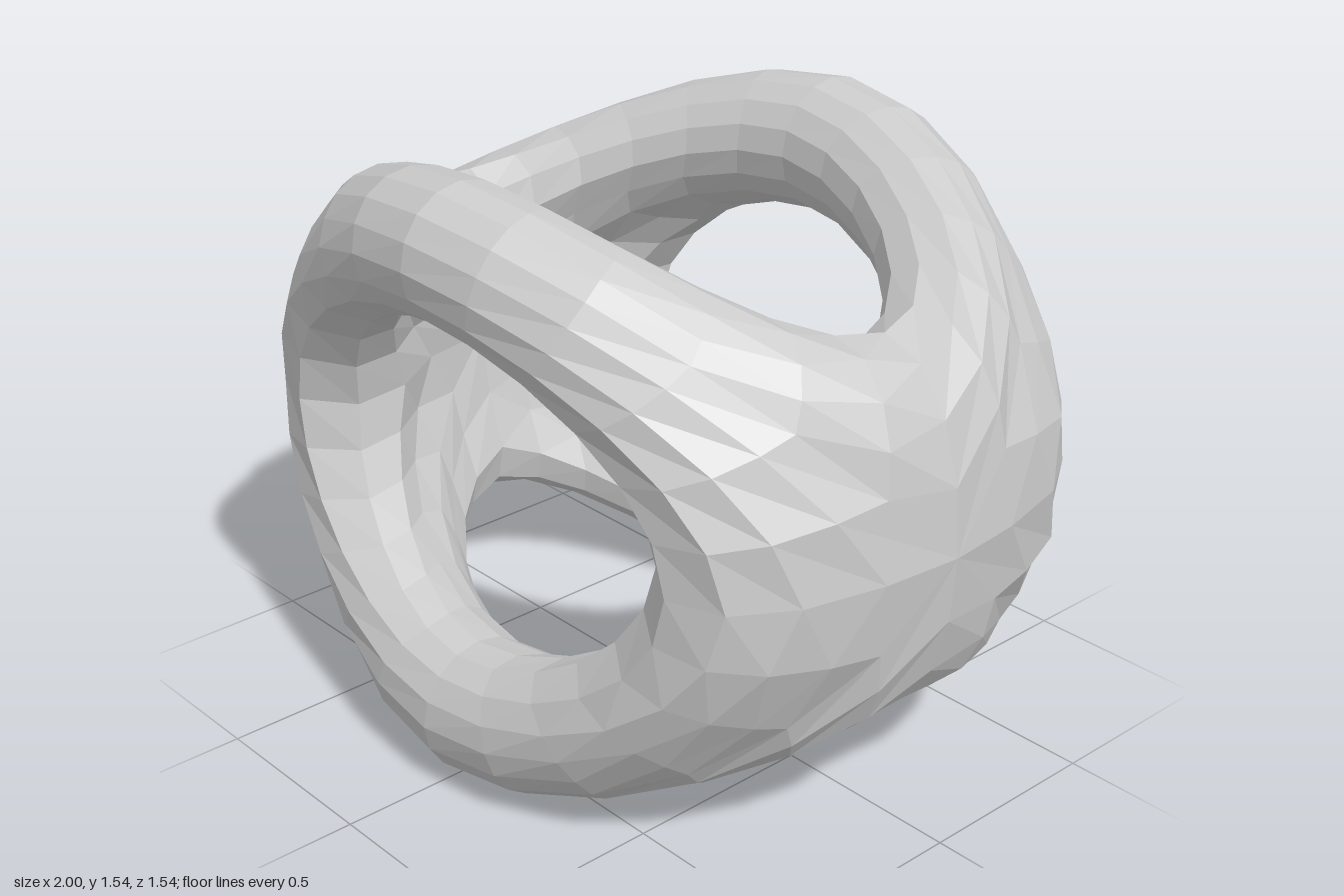
import * as THREE from 'three';
import { mergeVertices } from 'three/addons/utils/BufferGeometryUtils.js';

const SIDES = 16, STEPS = 6, MID_Y = 0.77;

// Half-thickness section of a side wall along its two symmetry planes:
// front rim -> outer centre (4) -> top rim (8) -> inner centre (12) -> front rim
const wallLoop = [
  [0.70, 0, 0.615], [0.84, 0, 0.565], [0.93, 0, 0.42], [0.98, 0, 0.21],
  [1.00, 0, 0], [0.985, 0.17, 0], [0.94, 0.32, 0], [0.86, 0.43, 0],
  [0.75, 0.47, 0], [0.67, 0.42, 0], [0.65, 0.32, 0], [0.70, 0.17, 0],
  [0.73, 0, 0], [0.69, 0, 0.20], [0.59, 0, 0.36], [0.57, 0, 0.52],
].map((p) => new THREE.Vector3(...p));

// Round section of a bar at x = 0
function barPoint(i) {
  const a = -Math.PI / 4 + (i / SIDES) * Math.PI * 2;
  return new THREE.Vector3(0, 0.595 + 0.175 * Math.sin(a), 0.595 + 0.175 * Math.cos(a));
}

// Smooth curve from the bar's middle into the wall
function flowPoint(i, t) {
  const p0 = barPoint(i), p1 = wallLoop[i];
  const fromCentre = Math.abs((i % 8) - 4);
  const side = 1 - fromCentre / 4; // sideways flow fades towards the rims
  const onFloor = i <= 4 || i >= 12; // this part ends on the horizontal symmetry plane
  const wy = onFloor ? 1 : side;
  const wz = i >= 4 && i <= 12 ? 1 : side;
  const k = 1.7;
  const t0 = new THREE.Vector3(1.35 * p1.x, 0, 0);
  const t1 = new THREE.Vector3(0, k * wy * (p1.y - p0.y), k * wz * (p1.z - p0.z));
  const s = t * t, c = s * t;
  return new THREE.Vector3()
    .addScaledVector(p0, 2 * c - 3 * s + 1)
    .addScaledVector(t0, c - 2 * s + t)
    .addScaledVector(p1, 3 * s - 2 * c)
    .addScaledVector(t1, c - s);
}

// One eighth of the body, mirrored by the signs
function addOctant(out, sx, sy, sz) {
  const flip = sx * sy * sz < 0;
  const put = (u, i) => {
    const p = flowPoint(i % SIDES, u / STEPS);
    out.push(p.x * sx, p.y * sy + MID_Y, p.z * sz);
  };
  for (let u = 0; u < STEPS; u++) {
    for (let i = 0; i < SIDES; i++) {
      const quad = [[u, i], [u + 1, i], [u + 1, i + 1], [u, i + 1]];
      if (flip) quad.reverse();
      for (const n of [0, 1, 2, 0, 2, 3]) put(...quad[n]);
    }
  }
}

export function createModel() {
  const group = new THREE.Group();
  group.name = 'openRingBody';

  // Four bars joined by two side walls, leaving front, back, top and bottom openings
  const positions = [];
  for (const sx of [1, -1]) for (const sy of [1, -1]) for (const sz of [1, -1]) {
    addOctant(positions, sx, sy, sz);
  }
  let geometry = new THREE.BufferGeometry();
  geometry.setAttribute('position', new THREE.Float32BufferAttribute(positions, 3));
  geometry = mergeVertices(geometry, 1e-4);
  geometry.computeVertexNormals();

  const shell = new THREE.Mesh(
    geometry,
    new THREE.MeshStandardMaterial({ color: 0xcccccc, flatShading: true }),
  );
  shell.name = 'barsAndSideWalls';
  group.add(shell);
  return group;
}
